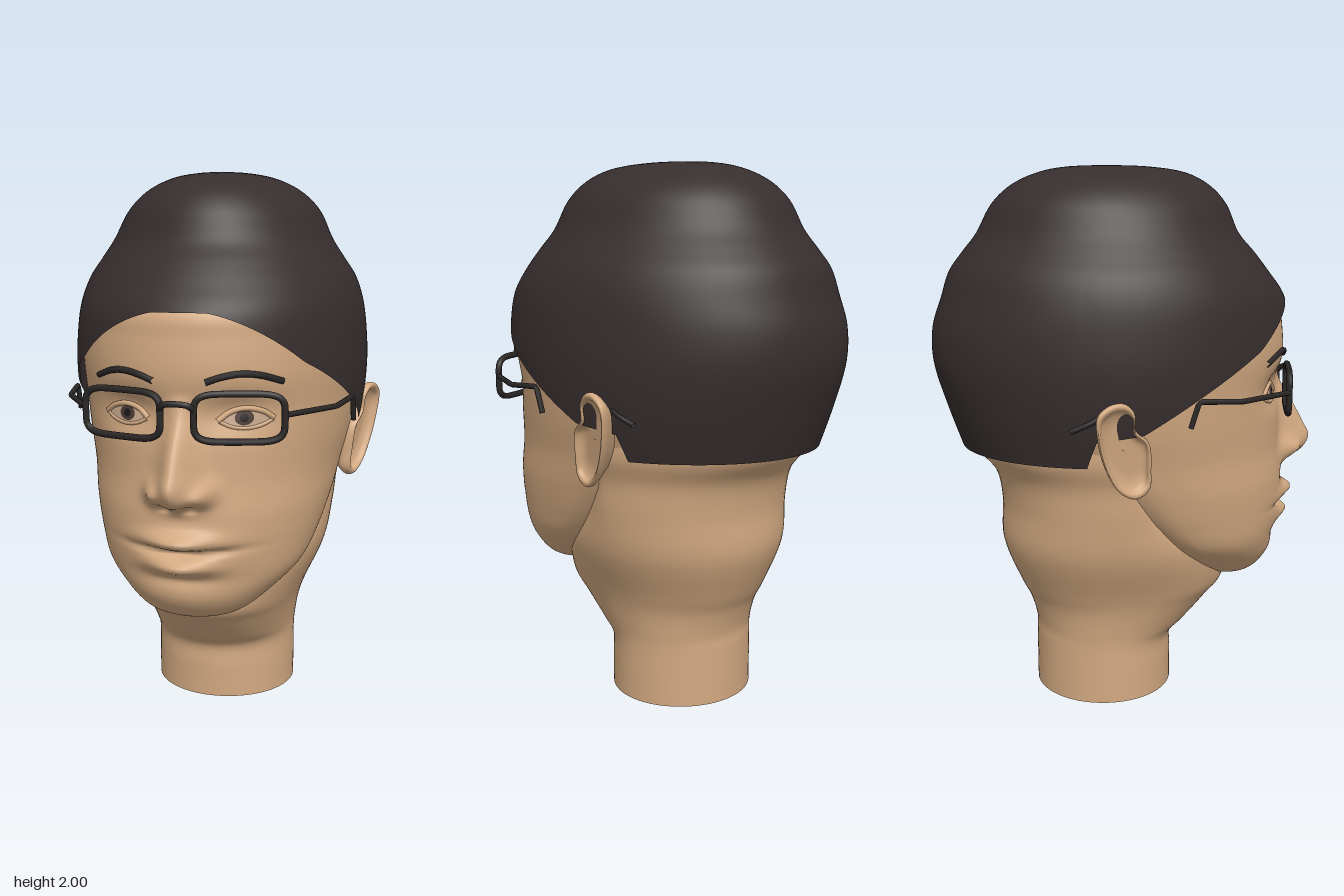
import * as THREE from 'three';

const mat = (name, color, side = THREE.DoubleSide) => {
  const m = new THREE.MeshStandardMaterial({ color, side });
  m.name = name;
  return m;
};

// Smooth sampling of a table of rows at a fractional row index
function sample(rows, p) {
  const n = rows.length - 1;
  const i = Math.min(n - 1, Math.max(0, Math.floor(p))), f = Math.min(1, Math.max(0, p - i));
  const a = rows[Math.max(0, i - 1)], b = rows[i], c = rows[i + 1], d = rows[Math.min(n, i + 2)];
  return b.map((v, k) => {
    const m0 = (c[k] - a[k]) / 2, m1 = (d[k] - v) / 2, e = c[k] - v;
    return v + f * (m0 + f * (3 * e - 2 * m0 - m1 + f * (m0 + m1 - 2 * e)));
  });
}

// Row index at which the first column (rising) reaches y
function indexAt(rows, y) {
  let lo = 0, hi = rows.length - 1;
  for (let k = 0; k < 30; k++) {
    const mid = (lo + hi) / 2;
    if (sample(rows, mid)[0] < y) lo = mid; else hi = mid;
  }
  return (lo + hi) / 2;
}

// Surface from closed rings: fn(column 0..1, row 0..1) gives a point
function loft(cols, rows, fn) {
  const pos = [], idx = [];
  for (let j = 0; j <= rows; j++) {
    for (let i = 0; i < cols; i++) {
      pos.push(...fn(i / cols, j / rows));
      if (j === rows) continue;
      const a = j * cols + i, b = j * cols + (i + 1) % cols;
      idx.push(a, b, b + cols, a, b + cols, a + cols);
    }
  }
  const g = new THREE.BufferGeometry();
  g.setAttribute('position', new THREE.Float32BufferAttribute(pos, 3));
  g.setIndex(idx);
  g.computeVertexNormals();
  return g;
}

// Cross-section: half width, front, widest point and back depth
function section([y, w, front, mid, back], t) {
  const c = Math.cos(t);
  return [w * Math.sin(t), y, mid + c * (c > 0 ? front - mid : mid - back)];
}

// Rows: y, half width, front z, widest z, back z
const HEAD = [
  [0.435, 0.01, 0.42, 0.41, 0.40], [0.45, 0.13, 0.48, 0.38, 0.28], [0.48, 0.2, 0.525, 0.36, 0.24],
  [0.54, 0.28, 0.565, 0.29, 0.12], [0.62, 0.36, 0.575, 0.22, 0], [0.72, 0.405, 0.595, 0.14, -0.12],
  [0.84, 0.44, 0.6, 0.07, -0.3], [0.96, 0.465, 0.585, 0, -0.5], [1.08, 0.495, 0.58, -0.05, -0.62],
  [1.2, 0.51, 0.575, -0.05, -0.69], [1.32, 0.52, 0.592, -0.05, -0.7], [1.44, 0.52, 0.583, -0.05, -0.7],
  [1.53, 0.5, 0.565, -0.05, -0.66], [1.63, 0.44, 0.46, -0.05, -0.6], [1.7, 0.33, 0.3, -0.05, -0.45],
  [1.74, 0.01, -0.04, -0.05, -0.06],
];
const NECK = [
  [0, 0.275, 0.165, -0.1, -0.365], [0.12, 0.275, 0.165, -0.1, -0.365], [0.21, 0.275, 0.168, -0.1, -0.365],
  [0.27, 0.28, 0.235, -0.1, -0.365], [0.36, 0.297, 0.32, -0.08, -0.39], [0.44, 0.325, 0.38, -0.08, -0.43],
  [0.6, 0.395, 0.35, -0.08, -0.49], [0.76, 0.425, 0.2, -0.08, -0.49], [0.88, 0.44, 0.1, -0.08, -0.515],
  [0.98, 0.47, 0.1, -0.08, -0.59], [1.1, 0.47, 0.1, -0.08, -0.6],
];
const CAP = [
  [0.97, 0.495, 0.58, -0.05, -0.63], [1.13, 0.53, 0.6, -0.05, -0.685], [1.29, 0.545, 0.61, -0.05, -0.73],
  [1.42, 0.54, 0.61, -0.05, -0.73], [1.53, 0.525, 0.588, -0.05, -0.695], [1.62, 0.495, 0.525, -0.05, -0.665],
  [1.69, 0.45, 0.47, -0.05, -0.615], [1.76, 0.405, 0.41, -0.05, -0.56], [1.86, 0.355, 0.365, -0.07, -0.505],
  [1.93, 0.285, 0.3, -0.07, -0.43], [1.975, 0.195, 0.21, -0.07, -0.33], [1.995, 0.1, 0.08, -0.07, -0.22],
  [2, 0, -0.07, -0.07, -0.07],
];
const NOSE = [[0.84, 0], [0.875, 0.03], [0.905, 0.105], [0.96, 0.145], [1.02, 0.12], [1.1, 0.078], [1.18, 0.033], [1.26, 0]];

const bump = (x, y, x0, y0, sx, sy, a) => a * Math.exp(-(((x - x0) / sx) ** 2) - ((y - y0) / sy) ** 2);

// Relief of nose, eye sockets, brow, lips and chin
function relief(x, y) {
  const ax = Math.abs(x);
  const noseWidth = THREE.MathUtils.clamp(0.075 - (y - 0.93) * 0.13, 0.042, 0.075);
  return sample(NOSE, indexAt(NOSE, y))[1] * Math.exp(-((x / noseWidth) ** 2))
    + bump(ax, y, 0.088, 0.93, 0.034, 0.036, 0.05)
    + bump(ax, y, 0.045, 0.882, 0.022, 0.014, -0.025)
    + bump(ax, y, 0.19, 1.19, 0.1, 0.06, -0.04)
    + bump(ax, y, 0.205, 1.18, 0.06, 0.035, 0.018)
    + bump(x, y, 0, 0.76, 0.12, 0.03, 0.06)
    + bump(x, y, 0, 0.714 + ax * 0.07, 0.16, 0.013, -0.04)
    + bump(x, y, 0, 0.668, 0.11, 0.032, 0.055)
    + bump(x, y, 0, 0.615, 0.12, 0.025, -0.012);
}

function faceZ(x, y) {
  const [, w, front, mid] = sample(HEAD, indexAt(HEAD, y));
  return mid + (front - mid) * Math.sqrt(Math.max(0, 1 - (x / w) ** 2)) + relief(x, y);
}

// Lower edge of the cap by depth
const EDGE = [[-1, 0.98], [-0.235, 0.98], [-0.2, 1.075], [-0.03, 1.1], [0.19, 1.235], [0.4, 1.36], [0.585, 1.53], [1, 1.53]];
function capEdge(z) {
  const i = EDGE.findIndex((e) => e[0] > z);
  const [a, b] = [EDGE[i - 1], EDGE[i]];
  return a[1] + (b[1] - a[1]) * (z - a[0]) / (b[0] - a[0]);
}

export function createModel() {
  const model = new THREE.Group();
  model.name = 'head';
  const skin = mat('skin', 0xd2a981);
  const cloth = mat('cap cloth', 0x372e2e);
  const dark = mat('frame and brow', 0x2a2626);
  const white = mat('eye white', 0xc6a88c);
  const brown = mat('iris brown', 0x4a3832);
  const black = mat('pupil black', 0x1c1818);

  const add = (name, geometry, material, parent = model) => {
    const m = new THREE.Mesh(geometry, material);
    m.name = name;
    parent.add(m);
    return m;
  };
  const tube = (pts, r, closed = false, straight = false) => {
    const v = pts.map((p) => new THREE.Vector3(...p));
    const curve = new THREE.CatmullRomCurve3(v, closed, 'catmullrom', straight ? 0.05 : 0.5);
    return new THREE.TubeGeometry(curve, closed ? 72 : 30, r, 8, closed);
  };

  // Face and skull, with columns packed toward the front
  add('face', loft(150, 150, (u, v) => {
    const s = u * 2 - 1, t = Math.PI * s * Math.abs(s) ** 0.4;
    const p = section(sample(HEAD, v * (HEAD.length - 1)), t);
    if (Math.cos(t) > 0) p[2] += relief(p[0], p[1]) * Math.min(1, Math.cos(t) * 2);
    return p;
  }), skin);

  // Neck, open at the bottom
  add('neck', loft(72, 60, (u, v) => section(sample(NECK, v * (NECK.length - 1)), u * Math.PI * 2)), skin);

  // Cap, cut along its slanted edge
  add('cap', loft(192, 60, (u, v) => {
    const t = u * Math.PI * 2;
    const p0 = indexAt(CAP, capEdge(-0.05 + 0.645 * Math.cos(t)));
    return section(sample(CAP, p0 + (CAP.length - 1 - p0) * v), t);
  }), cloth);

  // Ear as rings from the root, round the rim and into the bowl
  const outline = new THREE.CatmullRomCurve3([
    [-0.15, 1.215], [-0.1, 1.215], [-0.065, 1.18], [-0.06, 1.12], [-0.01, 1.07], [0, 0.97], [-0.005, 0.9],
    [-0.05, 0.872], [-0.11, 0.9], [-0.165, 0.99], [-0.195, 1.1], [-0.195, 1.18],
  ].map(([z, y]) => new THREE.Vector3(0, y, z)), true);
  const rings = [[0.55, -0.12], [0.8, -0.06], [0.97, -0.025], [1, -0.005], [0.96, 0.008], [0.88, 0.006], [0.8, -0.012], [0.6, -0.024], [0.3, -0.026], [0.01, -0.026]];
  const earGeometry = loft(56, 36, (u, v) => {
    const [s, dx] = sample(rings, v * (rings.length - 1));
    const p = outline.getPoint(u);
    const y = 1.05 + (p.y - 1.05) * s, z = -0.1 + (p.z + 0.1) * s;
    return [0.488 - 0.33 * z + 0.1 * (y - 0.9) + dx, y, z];
  });

  // Thin disc laid on the face
  const patch = (x0, y0, rx, ry, lift, almond = 0) => {
    const g = new THREE.RingGeometry(0.001, 1, 36, 6), a = g.attributes.position;
    for (let i = 0; i < a.count; i++) {
      const x = x0 + a.getX(i) * rx, y = y0 + a.getY(i) * ry * (1 - almond * a.getX(i) ** 2);
      a.setXYZ(i, x, y, faceZ(x, y) + lift);
    }
    g.computeVertexNormals();
    return g;
  };
  const onFace = (pts, lift) => pts.map(([x, y]) => [x, y, faceZ(x, y) + lift]);

  // Lens rim as a rounded rectangle
  const rim = [];
  for (let i = 0; i < 32; i++) {
    const t = i / 32 * Math.PI * 2, c = Math.cos(t), s = Math.sin(t);
    const x = 0.202 + 0.145 * Math.sign(c) * Math.abs(c) ** 0.45;
    rim.push([x, 1.19 + 0.08 * Math.sign(s) * Math.abs(s) ** 0.45, 0.625 - 0.27 * x]);
  }

  // Paired parts, mirrored
  for (const [side, sx] of [['left', 1], ['right', -1]]) {
    const half = new THREE.Group();
    half.name = side + 'Side';
    half.scale.x = sx;
    model.add(half);
    add(side + 'Ear', earGeometry, skin, half);
    add(side + 'EyeWhite', patch(0.207, 1.178, 0.08, 0.028, 0.004, 0.4), white, half);
    add(side + 'Iris', patch(0.205, 1.18, 0.03, 0.025, 0.007), brown, half);
    add(side + 'Pupil', patch(0.205, 1.18, 0.014, 0.014, 0.009), black, half);
    add(side + 'UpperLid', tube(onFace([[0.12, 1.17], [0.16, 1.2], [0.21, 1.211], [0.26, 1.2], [0.295, 1.175]], 0.002), 0.01), skin, half);
    add(side + 'LowerLid', tube(onFace([[0.125, 1.168], [0.165, 1.15], [0.21, 1.144], [0.255, 1.152], [0.29, 1.17]], 0), 0.007), skin, half);
    add(side + 'Eyebrow', tube(onFace([[0.09, 1.305], [0.14, 1.322], [0.2, 1.332], [0.26, 1.325], [0.325, 1.3]], 0.004), 0.011), dark, half);
    add(side + 'LensRim', tube(rim, 0.012, true), dark, half);
    add(side + 'Temple', tube([[0.35, 1.2, 0.53], [0.487, 1.2, 0.32], [0.523, 1.21, 0.16], [0.525, 1.12, 0.13]], 0.01, false, true), dark, half);
    add(side + 'TempleTip', tube([[0.5, 1.18, -0.15], [0.525, 1.15, -0.21], [0.52, 1.12, -0.28]], 0.009), dark, half);
  }
  add('bridge', tube([[-0.06, 1.215, 0.61], [-0.035, 1.235, 0.628], [0.035, 1.235, 0.628], [0.06, 1.215, 0.61]], 0.011), dark);

  return model;
}
